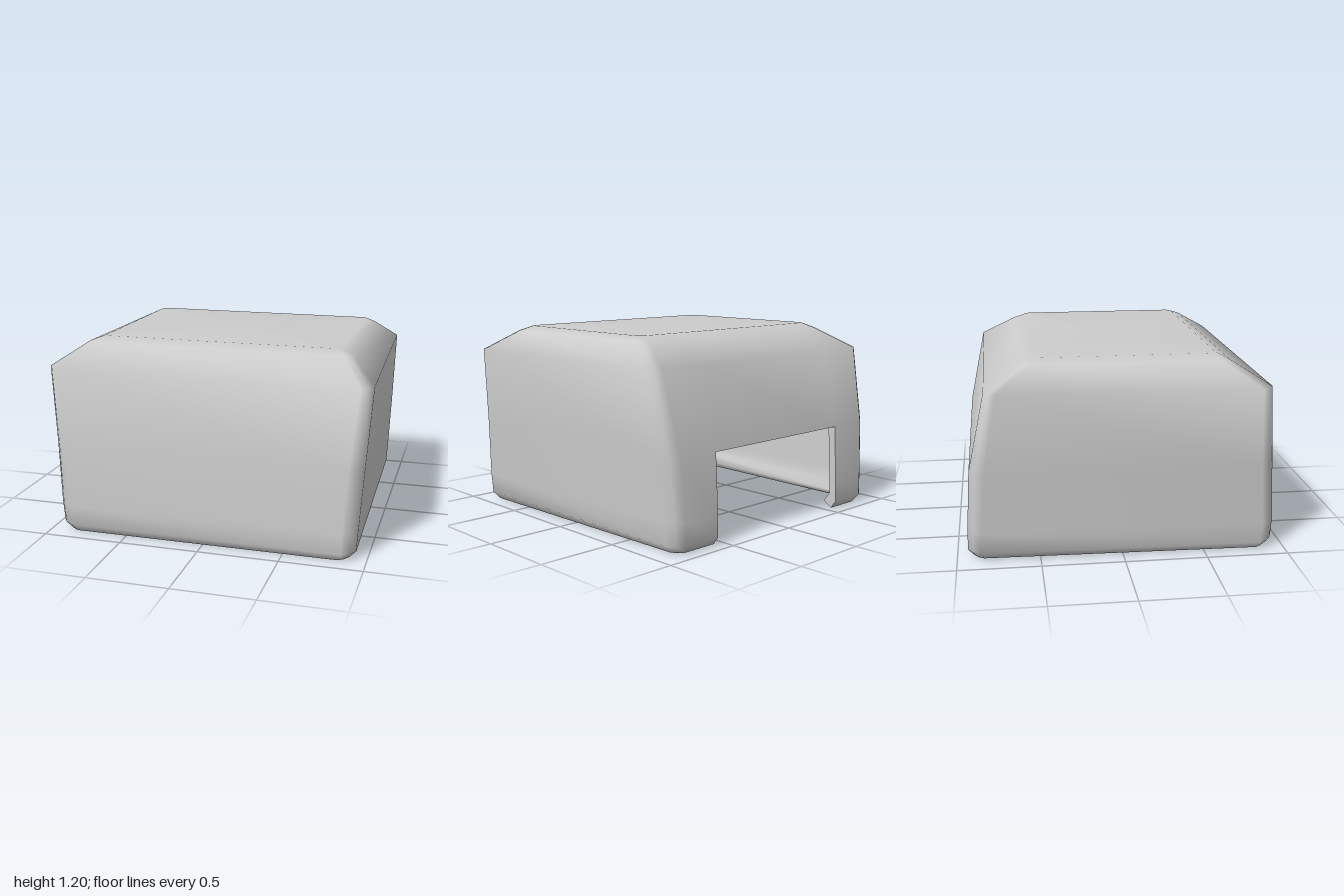
import * as THREE from 'three';

const NOTCH_X = 0.56; // half width of the rear opening
const NOTCH = 9;      // loop index where the opening starts
const TOP_RING = 3;   // outer ring at the opening's upper edge

// Cross-sections: y, half width at front, half width at back, front z, back z, corner size, x shift
const outer = [
  [1.20, 0.75, 0.75, 0.58, -0.50, 0.03, 0.02],
  [1.17, 0.83, 0.80, 0.65, -0.58, 0.05, 0.015],
  [1.04, 1.00, 0.95, 0.87, -0.81, 0.07, 0],
  [0.55, 0.966, 0.925, 0.909, -0.912, 0.085, 0],
  [0.18, 0.943, 0.908, 0.935, -0.933, 0.085, 0],
  [0.05, 0.935, 0.90, 0.925, -0.935, 0.08, 0],
  [0.00, 0.89, 0.85, 0.89, -0.90, 0.06, 0],
];

// Inner wall follows the outer one, with an inward lip at the rim
const t = 0.05;
const inset = ([, xf, xb, zf, zb, c, s], d, y) => [y, xf - d, xb - d, zf - d, zb + d, c, s];
const inner = [
  inset(outer[5], 0.095, 0.04),
  inset(outer[5], t, 0.10),
  inset(outer[4], t, 0.18),
  inset(outer[3], t, 0.55),
  inset(outer[2], t, 1.015),
  inset(outer[1], t * 0.6, 1.125),
  inset(outer[0], t * 0.4, 1.15),
];

// One loop with chamfered corners, running front right, front left, back left, back right
function loop([y, xf, xb, zf, zb, c, s]) {
  const m = c * 0.4;
  return [
    [-xf, zf - c], [-xf + m, zf - m], [-xf + c, zf],
    [xf - c, zf], [xf - m, zf - m], [xf, zf - c],
    [xb, zb + c], [xb - m, zb + m], [xb - c, zb],
    [NOTCH_X, zb], [-NOTCH_X, zb],
    [-xb + c, zb], [-xb + m, zb + m], [-xb, zb + c],
  ].map(([x, z]) => [x + s, y, z]);
}

function makeGeometry(points, index) {
  const g = new THREE.BufferGeometry();
  g.setAttribute('position', new THREE.Float32BufferAttribute(points.flat(), 3));
  g.setIndex(index);
  g.computeVertexNormals();
  return g;
}

export function createModel() {
  const group = new THREE.Group();
  const material = new THREE.MeshStandardMaterial({ color: 0xcccccc, side: THREE.DoubleSide });
  const add = (name, geometry) => {
    const mesh = new THREE.Mesh(geometry, material);
    mesh.name = name;
    group.add(mesh);
  };

  const rings = [...outer, ...inner].map(loop);
  const n = rings[0].length;
  const last = rings.length - 1;

  // Shell: roof, outer walls, rim and inner walls in one smooth skin
  const points = rings.flat();
  const index = [];
  for (let i = 0; i < last; i++) {
    for (let j = 0; j < n; j++) {
      if (j === NOTCH && i >= TOP_RING && i < last - TOP_RING) continue;
      const k = (j + 1) % n;
      const a = i * n + j, b = i * n + k, c = a + n, d = b + n;
      index.push(a, c, d, a, d, b);
    }
  }
  // Roof and ceiling caps
  const roof = points.push([0, outer[0][0], 0]) - 1;
  const ceiling = points.push([0, inner[6][0], 0]) - 1;
  for (let j = 0; j < n; j++) {
    const k = (j + 1) % n;
    index.push(roof, j, k, ceiling, last * n + k, last * n + j);
  }
  add('shell', makeGeometry(points, index));

  // Cut edges of the rear opening
  [['openingEdgeLeft', NOTCH], ['openingEdgeRight', NOTCH + 1]].forEach(([name, j]) => {
    const edge = [], faces = [];
    for (let i = TOP_RING; i < outer.length; i++) {
      edge.push(rings[i][j], rings[last - i][j]);
      const a = edge.length - 2;
      if (a < 2) continue;
      if (j === NOTCH) faces.push(a - 2, a - 1, a, a - 1, a + 1, a);
      else faces.push(a - 2, a, a - 1, a - 1, a, a + 1);
    }
    add(name, makeGeometry(edge, faces));
  });
  const o = rings[TOP_RING], q = rings[last - TOP_RING];
  add('openingEdgeTop', makeGeometry(
    [o[NOTCH], o[NOTCH + 1], q[NOTCH + 1], q[NOTCH]], [0, 2, 1, 0, 3, 2]));

  return group;
}
